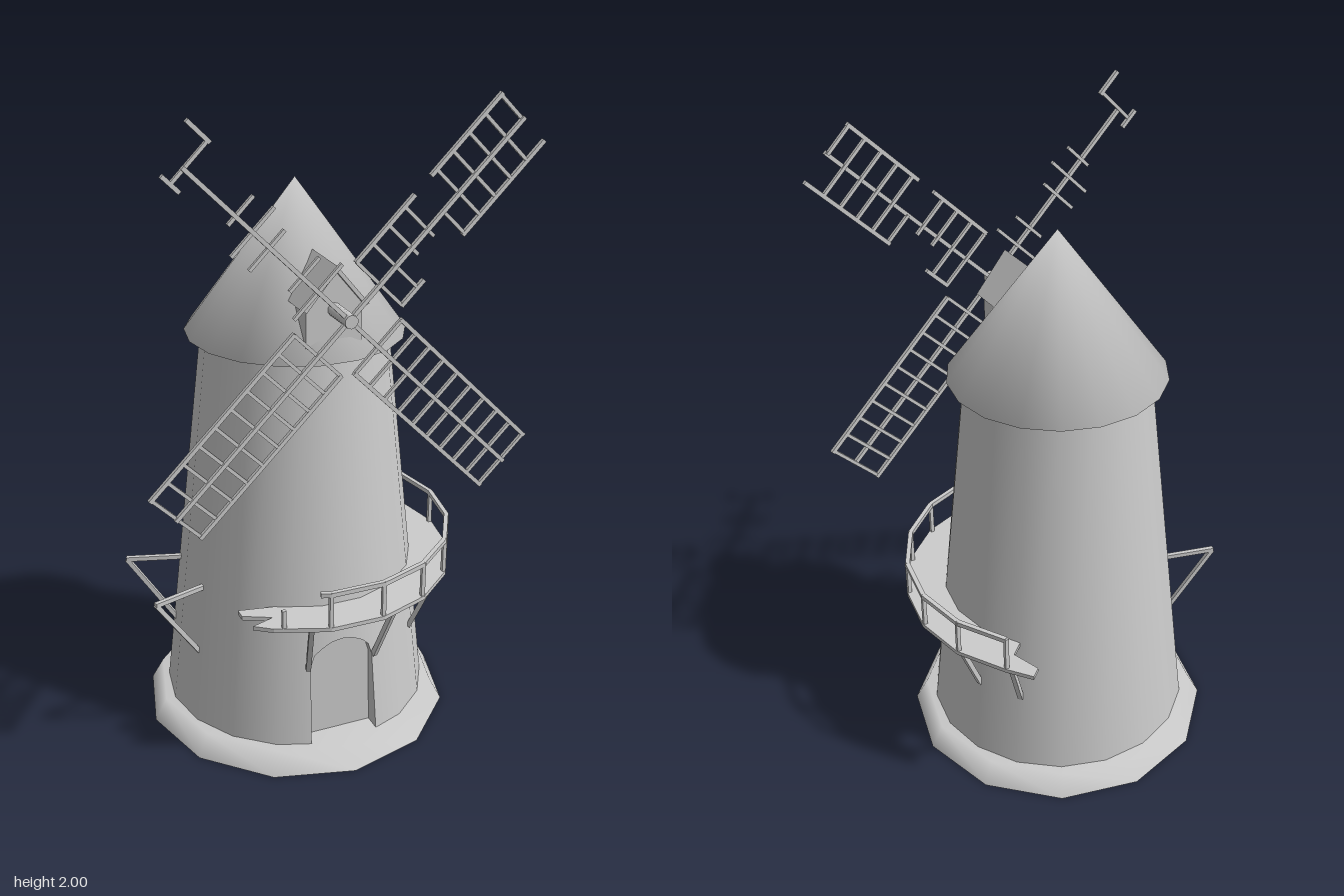
import * as THREE from 'three';
import { mergeGeometries, mergeVertices } from 'three/addons/utils/BufferGeometryUtils.js';

const grey = new THREE.MeshStandardMaterial({ color: 0xcccccc, side: THREE.DoubleSide });
const RAD = Math.PI / 180;
const HUB_Y = 1.415;

function part(name, geometry, parent) {
  const mesh = new THREE.Mesh(geometry, grey);
  mesh.name = name;
  parent.add(mesh);
  return mesh;
}

// Share all vertices so that the whole solid shades smoothly
function smooth(g) {
  g.deleteAttribute('normal');
  g.deleteAttribute('uv');
  const merged = mergeVertices(g);
  merged.computeVertexNormals();
  return merged;
}

// Square bar between two points
function bar(a, b, t = 0.012) {
  const from = new THREE.Vector3(...a), to = new THREE.Vector3(...b);
  const g = new THREE.BoxGeometry(t, t, from.distanceTo(to));
  const o = new THREE.Object3D();
  o.position.copy(from).add(to).multiplyScalar(0.5);
  o.lookAt(to);
  o.updateMatrix();
  return g.applyMatrix4(o.matrix);
}

// Point around the tower: angle in degrees from +z towards +x
const polar = (deg, r, y) => [r * Math.sin(deg * RAD), y, r * Math.cos(deg * RAD)];

// Surface of the 18-sided tapering wall
function onWall(deg, y) {
  const r = 0.414 - (y - 0.07) * 0.133 / 1.2;
  const off = deg - 20 * Math.round(deg / 20);
  return polar(deg, r * Math.cos(10 * RAD) / Math.cos(off * RAD), y);
}

// Arched edge of the doorway, as [angle, height]
const DOOR = 15.3;
function doorEdge() {
  const pts = [[-DOOR, 0.07]];
  for (const a of [-DOOR, -13.5, -10, -5, 0, 5, 10, 13.5, DOOR])
    pts.push([a, 0.325 + 0.08 * Math.sqrt(1 - (a / DOOR) ** 2)]);
  pts.push([DOOR, 0.07]);
  return pts;
}

function towerWall() {
  const cols = [[-30, 0.07], [-DOOR, 0.07], ...doorEdge(), [DOOR, 0.07]];
  for (let a = 30; a <= 330; a += 20) cols.push([a, 0.07]);
  const pos = [], nor = [], idx = [];
  cols.forEach(([a, y], i) => {
    pos.push(...onWall(a, y), ...onWall(a, 1.28));
    const n = new THREE.Vector3(...polar(a, 1, 0.108)).normalize();
    nor.push(n.x, n.y, n.z, n.x, n.y, n.z);
    const k = 2 * i;
    if (i > 0) idx.push(k - 2, k, k + 1, k - 2, k + 1, k - 1);
  });
  const g = new THREE.BufferGeometry();
  g.setAttribute('position', new THREE.Float32BufferAttribute(pos, 3));
  g.setAttribute('normal', new THREE.Float32BufferAttribute(nor, 3));
  g.setIndex(idx);
  return g;
}

// Sides of the door recess, from the wall edge back to the door
function doorReveal(backZ) {
  const pos = [], edge = doorEdge().map(([a, y]) => onWall(a, y));
  for (let i = 1; i < edge.length; i++) {
    const a = edge[i - 1], b = edge[i];
    const c = [b[0], b[1], backZ], d = [a[0], a[1], backZ];
    pos.push(...a, ...b, ...c, ...a, ...c, ...d);
  }
  const g = new THREE.BufferGeometry();
  g.setAttribute('position', new THREE.Float32BufferAttribute(pos, 3));
  g.computeVertexNormals();
  return g;
}

function prism(points, z0, z1) {
  const shape = new THREE.Shape(points.map(p => new THREE.Vector2(...p)));
  return new THREE.ExtrudeGeometry(shape, { depth: z1 - z0, bevelEnabled: false }).translate(0, 0, z0);
}

// Lattice blade along +y: rails are [x, start, end], rungs are [y, x0, x1]
function blade(rails, rungs) {
  return mergeGeometries([
    ...rails.map(([x, a, b]) => {
      const z = x === 0 ? 0.003 : -0.002;
      return bar([x, a, z], [x, b, z], 0.012);
    }),
    ...rungs.map(([y, a, b]) => bar([a, y, -0.002], [b, y, -0.002], 0.01)),
  ]);
}

function buildSails(root) {
  const sails = new THREE.Group();
  sails.name = 'sails';
  sails.position.set(0, HUB_Y, 0.38);
  root.add(sails);
  const W = 0.098, rungY = k => 0.713 - k * 0.065;
  const rungs = (from, to, a = -W, b = W) => {
    const out = [];
    for (let k = from; k <= to; k++) out.push([rungY(k), a, b]);
    return out;
  };
  const whole = [[[-W, 0.125, 0.72], [0, 0, 0.72], [W, 0.125, 0.72]], rungs(0, 9)];
  const torn = [
    [[-W, 0.125, 0.365], [-W, 0.43, 0.72], [0, 0, 0.72], [W, 0.125, 0.22], [W, 0.38, 0.72]],
    [...rungs(0, 0, -W, 0), ...rungs(1, 4), ...rungs(5, 5, 0, W), ...rungs(6, 7, -W, 0.03), ...rungs(8, 9)],
  ];
  const bare = [
    [[0, 0, 0.65], [W - 0.006, 0.635, 0.72], [-0.05, 0.61, 0.675]],
    [[0.643, -0.05, W], [rungY(4), -0.03, 0.07], ...rungs(5, 5, -0.085, 0.085),
      [rungY(6), -0.08, 0.06], [rungY(8), -0.05, 0.07], ...rungs(9, 9)],
  ];
  [['wholeSailLeft', whole, -135], ['wholeSailRight', whole, 135], ['tornSail', torn, -45], ['bareSail', bare, 45]]
    .forEach(([name, spec, deg]) => { part(name, blade(...spec), sails).rotation.z = deg * RAD; });
}

function buildGallery(root) {
  const gallery = new THREE.Group();
  gallery.name = 'gallery';
  root.add(gallery);
  const R = 0.488;

  // Deck with broken ends
  const outline = [[-0.18, 0.31], [-0.3, 0.287], [-0.3, 0.322], [-0.22, 0.362], [-0.29, 0.385], [-0.24, 0.422]];
  for (let a = -10; a <= 130; a += 20) { const p = polar(a, R, 0); outline.push([p[0], p[2]]); }
  outline.push([0.32, -0.385], [0.29, -0.36], [0.32, -0.27]);
  for (let a = 130; a >= -10; a -= 20) { const p = polar(a, 0.355, 0); outline.push([p[0], p[2]]); }
  const deck = prism(outline.map(([x, z]) => [x, -z]), 0, 0.013).rotateX(-Math.PI / 2);
  part('deck', deck.translate(0, 0.511, 0), gallery);

  // Railing with posts at the deck corners
  const rail = [bar([-0.21, 0.52, 0.425], [-0.21, 0.58, 0.425])];
  const r = R - 0.008;
  for (let a = -10; a <= 130; a += 20) {
    rail.push(bar(polar(a, r, 0.52), polar(a, r, 0.635)));
    if (a < 130) rail.push(bar(polar(a, r, 0.63), polar(a + 20, r, 0.63), 0.014));
  }
  rail.push(bar(polar(-10, r, 0.63), [-0.112, 0.63, 0.462], 0.014));
  part('railing', mergeGeometries(rail), gallery);

  // Braces under the deck
  const braces = [-16.5, 16.5, 47, 71, 109, 131].map(a => bar(polar(a, 0.465, 0.515), polar(a, 0.382, 0.32), 0.015));
  part('braces', mergeGeometries(braces), gallery);

  // Bare brackets where the deck has fallen away
  const brackets = [-16.7, 16.7].flatMap(d => [
    bar(polar(270 + d, 0.533, 0.515), polar(270 + d, 0.35, 0.515), 0.014),
    bar(polar(270 + d, 0.53, 0.513), polar(270 + d, 0.38, 0.295), 0.014),
  ]);
  part('bareBrackets', mergeGeometries(brackets), gallery);
}

export function createModel() {
  const root = new THREE.Group();
  root.name = 'windmill';

  // Base: smooth sloping rim with a flat underside
  const rim = [[0.482, 0], [0.444, 0.07], [0, 0.07]].map(p => new THREE.Vector2(...p));
  part('base', new THREE.LatheGeometry(rim, 12), root);
  part('baseUnderside', new THREE.CircleGeometry(0.482, 12).rotateX(Math.PI / 2), root);
  part('tower', towerWall(), root);

  // Recessed arched door
  part('doorReveal', doorReveal(0.34), root);
  part('door', new THREE.PlaneGeometry(0.23, 0.35).translate(0, 0.24, 0.341), root);

  // Conical cap
  const cap = new THREE.ConeGeometry(0.33, 0.455, 18).rotateY(10 * RAD).translate(0, 1.4975, 0);
  part('cap', smooth(cap), root);

  // Dormer with a gabled roof, and the sail shaft
  part('dormer', prism([[-0.085, 1.3], [0.085, 1.3], [0.085, 1.43], [0, 1.53], [-0.085, 1.43]], 0.05, 0.284), root);
  part('dormerRoof', prism([[-0.1, 1.424], [-0.088, 1.42], [0, 1.527], [0.088, 1.42], [0.1, 1.424], [0, 1.545]], 0.05, 0.3), root);
  part('shaft', new THREE.CylinderGeometry(0.02, 0.02, 0.2, 10).rotateX(Math.PI / 2).translate(0, HUB_Y, 0.3), root);

  buildSails(root);
  buildGallery(root);
  return root;
}
